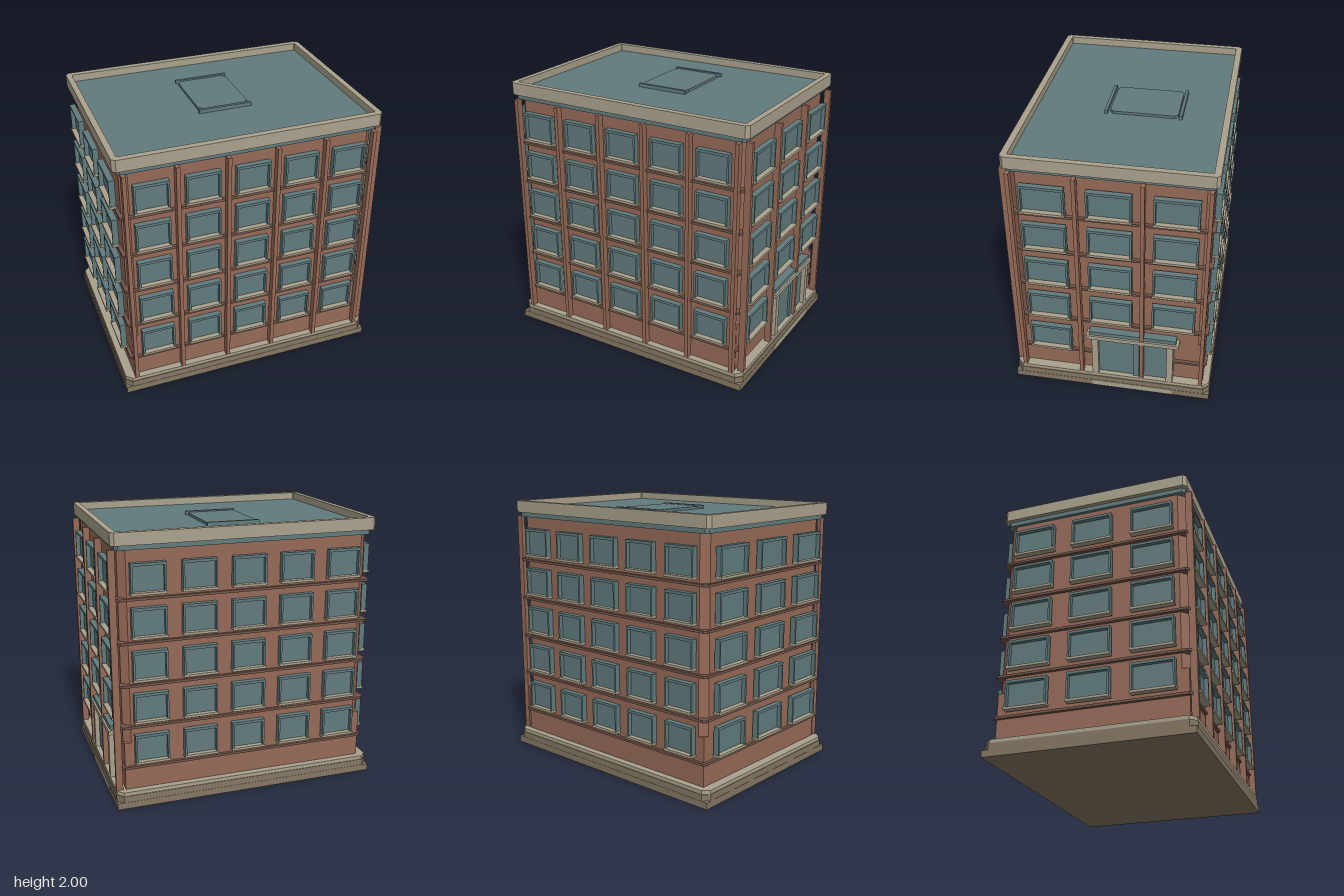
import * as THREE from 'three';

const mat = (name, color) => {
  const m = new THREE.MeshStandardMaterial({ color });
  m.name = name;
  return m;
};

export function createModel() {
  const brick = mat('brick', 0x966a57);
  const darkBrick = mat('darkBrick', 0x73564a);
  const teal = mat('tealMetal', 0x617b7d);
  const stone = mat('paleStone', 0xaaa28d);
  const baseStone = mat('darkStone', 0x857763);
  const model = new THREE.Group();
  model.name = 'building';

  const add = (parent, name, geo, material, x = 0, y = 0, z = 0) => {
    const m = new THREE.Mesh(geo, material);
    m.name = name;
    m.position.set(x, y, z);
    parent.add(m);
    return m;
  };
  // Box given by its limits
  const box = (parent, name, material, x0, x1, y0, y1, z0, z1) =>
    add(parent, name, new THREE.BoxGeometry(x1 - x0, y1 - y0, z1 - z0), material,
      (x0 + x1) / 2, (y0 + y1) / 2, (z0 + z1) / 2);

  // Rectangle with cut corners, half sizes a and b
  const outline = (a, b, c, Type = THREE.Shape) => new Type([
    [a, c - b], [a, b - c], [a - c, b], [c - a, b],
    [-a, b - c], [-a, c - b], [c - a, -b], [a - c, -b],
  ].map(([x, y]) => new THREE.Vector2(x, y)));
  const slab = (name, material, a, b, c, y0, y1, hole) => {
    const shape = outline(a, b, c);
    if (hole) shape.holes.push(outline(...hole, THREE.Path));
    const geo = new THREE.ExtrudeGeometry(shape, { depth: y1 - y0, bevelEnabled: false });
    geo.rotateX(-Math.PI / 2);
    return add(model, name, geo, material, 0, y0, 0);
  };

  // Stepped base
  box(model, 'foundation', baseStone, -1, 1, 0, 0.05, -0.75, 0.75);
  slab('plinth', baseStone, 0.998, 0.748, 0.045, 0.05, 0.097);
  slab('plinthCap', stone, 0.993, 0.743, 0.045, 0.097, 0.125);

  // Walls: square at the bottom, cut corners above
  box(model, 'lowerWalls', brick, -0.925, 0.925, 0.125, 0.485, -0.693, 0.693);
  slab('upperWalls', brick, 0.925, 0.693, 0.05, 0.485, 1.88);

  // Roof edge, parapet and roof
  slab('frieze', teal, 0.947, 0.705, 0.02, 1.875, 1.91);
  slab('parapet', stone, 0.978, 0.725, 0.025, 1.91, 2, [0.935, 0.678, 0.004]);
  box(model, 'roof', teal, -0.936, 0.936, 1.91, 1.945, -0.679, 0.679);
  const hatch = slab('roofHatch', teal, 0.19, 0.247, 0.025, 1.945, 1.965);
  hatch.position.z = -0.105;
  for (const z of [-0.372, 0.168])
    box(model, 'hatchRail', teal, -0.2, 0.2, 1.945, 1.972, z - 0.011, z + 0.011);

  // Floor bands
  const rows = [0, 1, 2, 3, 4].map((i) => 0.33 + i * 0.31);
  for (const y of rows)
    slab('floorBand', darkBrick, 0.95, 0.715, 0.02, y - 0.042, y - 0.024);

  // Framed window, facing local +z, with its back at z = d
  const addWindow = (parent, x, y, w, d) => {
    const g = new THREE.Group();
    g.name = 'window';
    g.position.set(x, y, d);
    parent.add(g);
    const h = w / 2;
    box(g, 'glass', teal, -h + 0.01, h - 0.01, 0.015, 0.215, 0, 0.012);
    for (const s of [-1, 1])
      box(g, 'jamb', teal, s * (h - 0.007) - 0.007, s * (h - 0.007) + 0.007, 0.015, 0.22, 0, 0.043);
    box(g, 'header', teal, -h + 0.014, h - 0.014, 0.2, 0.22, 0, 0.043);
    box(g, 'sill', stone, -h - 0.003, h + 0.003, 0, 0.018, 0, 0.05);
  };

  // Each side: turn about y, wall distance, column centres, width, pilasters
  const longCols = [-2, -1, 0, 1, 2].map((i) => i * 0.364);
  const shortCols = [-0.457, 0, 0.457];
  const sides = [
    ['frontSide', 0, 0.7, longCols, 0.25, [-0.912, -0.546, -0.182, 0.182, 0.546, 0.912]],
    ['leftSide', Math.PI / 2, 0.945, shortCols, 0.31, [-0.677, -0.23, 0.23, 0.677]],
    ['backSide', Math.PI, 0.695, longCols, 0.25, []],
    ['rightSide', -Math.PI / 2, 0.945, shortCols, 0.31, []],
  ];
  for (const [name, turn, d, cols, w, pilasters] of sides) {
    const side = new THREE.Group();
    side.name = name;
    side.rotation.y = turn;
    model.add(side);
    rows.forEach((y, r) => cols.forEach((x, c) => {
      // The entrance takes the place of two ground floor windows
      if (name === 'leftSide' && r === 0 && c > 0) return;
      addWindow(side, x, y, w, d);
    }));
    for (const x of pilasters)
      box(side, 'pilaster', brick, x - 0.014, x + 0.014, 0.125, 1.88, d, d + 0.05);
  }

  // Entrance on the model's left side
  const door = new THREE.Group();
  door.name = 'entrance';
  door.position.z = -0.16;
  model.add(door);
  box(door, 'doorGlass', teal, 0.92, 0.957, 0.125, 0.48, -0.26, 0.26);
  box(door, 'doorMullion', teal, 0.95, 0.972, 0.125, 0.48, -0.05, -0.005);
  for (const s of [-1, 1])
    box(door, 'doorPost', stone, 0.925, 0.992, 0.125, 0.48, s * 0.282 - 0.024, s * 0.282 + 0.024);
  box(door, 'canopy', stone, 0.925, 1, 0.48, 0.512, -0.347, 0.347);
  box(door, 'canopyRoof', teal, 0.925, 0.985, 0.512, 0.543, -0.325, 0.325);
  box(door, 'canopyLight', stone, 0.96, 0.985, 0.468, 0.48, -0.125, 0.125);
  box(door, 'doorStep', stone, 0.9, 1.002, 0.001, 0.052, -0.308, 0.308);

  return model;
}
